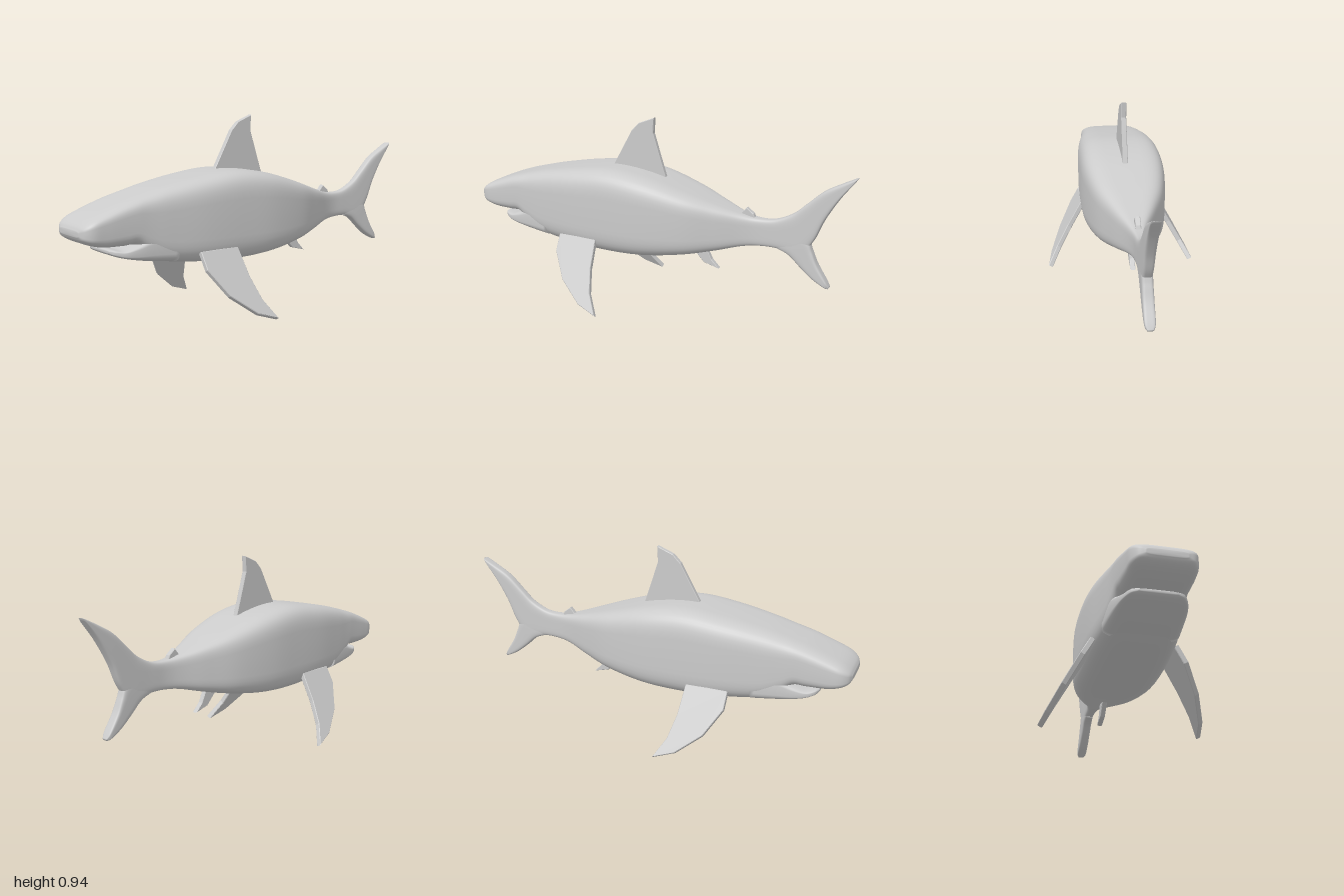
import * as THREE from 'three';

const material = new THREE.MeshStandardMaterial({ color: 0xcccccc, side: THREE.DoubleSide });

function add(group, name, geometry) {
  const mesh = new THREE.Mesh(geometry, material);
  mesh.name = name;
  group.add(mesh);
  return mesh;
}

// Smooth skin through rounded-box sections.
// Station: [upper x, upper y, lower x, lower y, half width in z]
function loft(stations, steps, power) {
  const sides = 48;
  const upper = new THREE.CatmullRomCurve3(stations.map(s => new THREE.Vector3(s[0], s[1], s[4])), false, 'catmullrom');
  const lower = new THREE.CatmullRomCurve3(stations.map(s => new THREE.Vector3(s[2], s[3], 0)), false, 'catmullrom');
  const bulge = v => Math.sign(v) * Math.abs(v) ** (2 / power);
  const position = [], index = [];
  for (let i = 0; i <= steps; i++) {
    const a = upper.getPoint(i / steps), b = lower.getPoint(i / steps);
    for (let j = 0; j < sides; j++) {
      const angle = (j / sides) * Math.PI * 2;
      const k = (1 + bulge(Math.cos(angle))) / 2;
      position.push(b.x + (a.x - b.x) * k, b.y + (a.y - b.y) * k, a.z * bulge(Math.sin(angle)));
      if (i === steps) continue;
      const p = i * sides + j, q = i * sides + (j + 1) % sides;
      index.push(p, q, p + sides, q, q + sides, p + sides);
    }
  }
  // End caps
  [0, steps].forEach((row, end) => {
    const a = upper.getPoint(end), b = lower.getPoint(end);
    const centre = position.length / 3;
    position.push((a.x + b.x) / 2, (a.y + b.y) / 2, 0);
    for (let j = 0; j < sides; j++) {
      const p = row * sides + j, q = row * sides + (j + 1) % sides;
      index.push(centre, end ? p : q, end ? q : p);
    }
  });
  const geometry = new THREE.BufferGeometry();
  geometry.setAttribute('position', new THREE.Float32BufferAttribute(position, 3));
  geometry.setIndex(index);
  geometry.computeVertexNormals();
  return geometry;
}

// Flat fin plate centred on z = 0
function fin(points, thickness = 0.025) {
  const bevel = 0.003;
  const shape = new THREE.Shape(points.map(p => new THREE.Vector2(...p)));
  return new THREE.ExtrudeGeometry(shape, {
    depth: thickness - 2 * bevel, bevelEnabled: true, bevelThickness: bevel,
    bevelSize: bevel, bevelOffset: -bevel, bevelSegments: 1,
  }).translate(0, 0, bevel - thickness / 2);
}

export function createModel() {
  const shark = new THREE.Group();
  shark.name = 'shark';

  // Trunk from snout to tail stalk, running on into the upper tail lobe
  const trunk = [
    [-1, 0.47, -1, 0.445, 0.085],
    [-0.985, 0.492, -0.985, 0.424, 0.12],
    [-0.95, 0.517, -0.95, 0.405, 0.143],
    [-0.89, 0.543, -0.89, 0.39, 0.15],
    [-0.8, 0.575, -0.8, 0.386, 0.156],
    [-0.74, 0.592, -0.74, 0.385, 0.161],
    [-0.68, 0.608, -0.68, 0.34, 0.167],
    [-0.58, 0.632, -0.58, 0.291, 0.181],
    [-0.4, 0.664, -0.4, 0.267, 0.203],
    [-0.2, 0.685, -0.2, 0.256, 0.21],
    [0, 0.662, 0, 0.264, 0.205],
    [0.2, 0.606, 0.2, 0.294, 0.168],
    [0.35, 0.557, 0.35, 0.328, 0.108],
    [0.47, 0.52, 0.47, 0.36, 0.054],
    [0.55, 0.507, 0.55, 0.372, 0.031],
    [0.63, 0.514, 0.64, 0.374, 0.026],
    [0.71, 0.552, 0.75, 0.36, 0.026],
    [0.77, 0.605, 0.815, 0.435, 0.026],
    [0.85, 0.678, 0.86, 0.54, 0.026],
    [0.93, 0.724, 0.92, 0.645, 0.025],
    [0.99, 0.754, 0.98, 0.728, 0.023],
    [1, 0.758, 0.995, 0.748, 0.014],
  ];
  add(shark, 'body', loft(trunk, 126, 4.5));

  // Lower jaw, leaving the mouth gap beneath the snout
  add(shark, 'lowerJaw', loft([
    [-0.855, 0.37, -0.855, 0.358, 0.08],
    [-0.84, 0.375, -0.84, 0.347, 0.115],
    [-0.8, 0.373, -0.8, 0.333, 0.14],
    [-0.74, 0.395, -0.74, 0.318, 0.156],
    [-0.66, 0.43, -0.66, 0.303, 0.167],
    [-0.55, 0.44, -0.55, 0.29, 0.178],
  ], 30, 4.5));

  // Lower tail lobe
  add(shark, 'lowerTailLobe', loft([
    [0.7, 0.48, 0.64, 0.374, 0.024],
    [0.785, 0.44, 0.7, 0.35, 0.026],
    [0.812, 0.385, 0.76, 0.298, 0.026],
    [0.84, 0.322, 0.82, 0.25, 0.026],
    [0.885, 0.25, 0.875, 0.22, 0.024],
    [0.902, 0.22, 0.895, 0.212, 0.014],
  ], 36, 4.5));

  // Fins on the centre line
  add(shark, 'dorsalFin', fin([
    [-0.25, 0.65], [0.07, 0.6], [0.065, 0.625], [0.025, 0.745],
    [-0.012, 0.86], [-0.008, 0.937], [-0.09, 0.905], [-0.13, 0.865],
  ]));
  add(shark, 'rearDorsalFin', fin([[0.44, 0.5], [0.54, 0.48], [0.52, 0.525], [0.485, 0.552]]));
  add(shark, 'analFin', fin([[0.19, 0.32], [0.27, 0.237], [0.35, 0.216], [0.31, 0.258], [0.27, 0.34]]));

  // Pair of pectoral fins, splayed outward and down
  const splay = Math.PI / 6;
  for (const side of [1, -1]) {
    const pectoral = add(shark, side > 0 ? 'frontPectoralFin' : 'backPectoralFin', fin([
      [-0.45, 0.01], [-0.447, -0.08], [-0.37, -0.217], [-0.25, -0.322],
      [-0.145, -0.362], [-0.2, -0.26], [-0.228, -0.14], [-0.24, 0.01],
    ]));
    pectoral.position.set(0, 0.32, side * 0.196);
    pectoral.rotation.x = -side * splay;
  }

  return shark;
}
